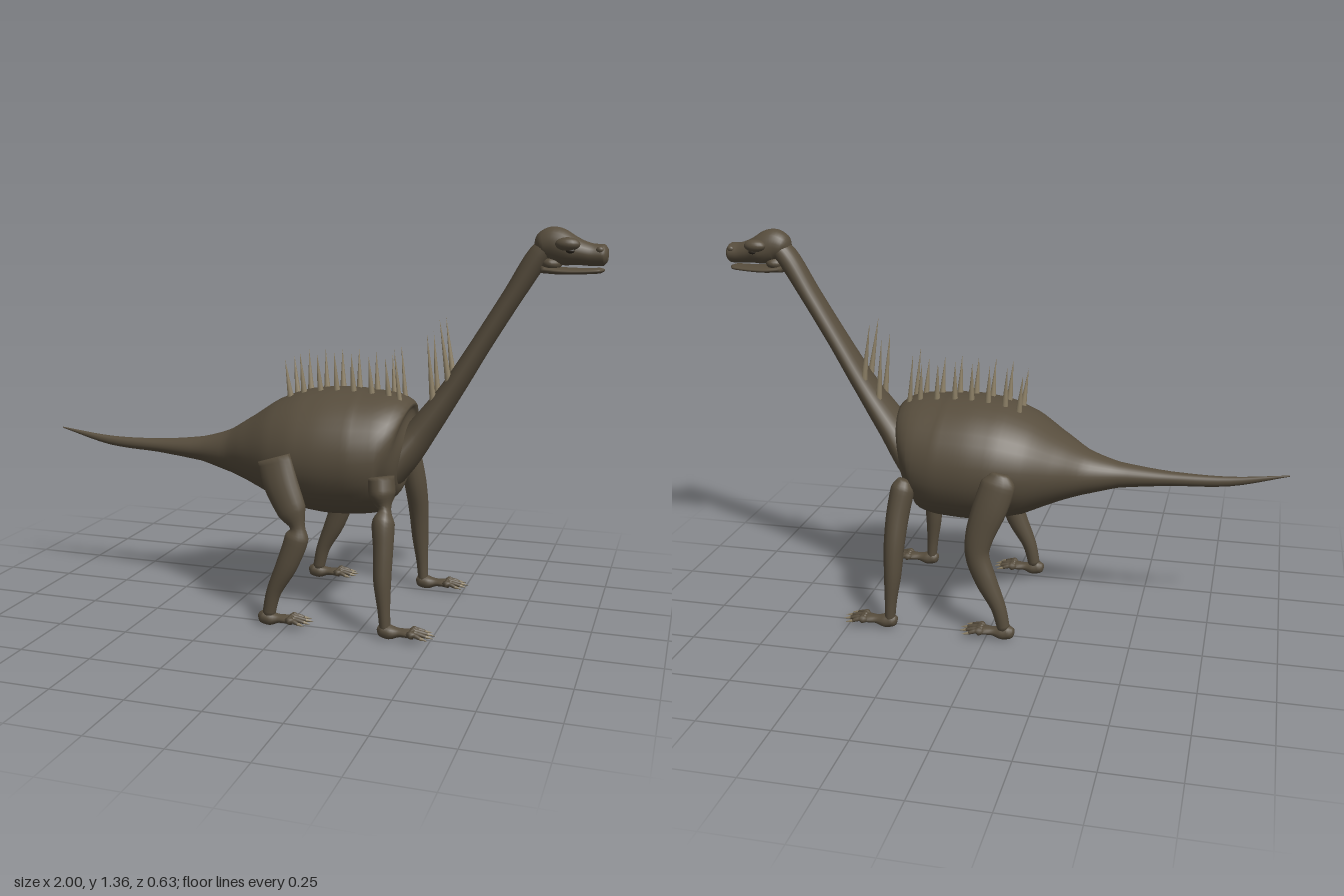
import * as THREE from 'three';

const mat = (name, color) => Object.assign(new THREE.MeshStandardMaterial({ color }), { name });

// Smooth tube through sections [x, y, z, half height across the path, half width towards z]
function loft(sections, sides = 24, steps = 5) {
  const path = new THREE.CatmullRomCurve3(sections.map(s => new THREE.Vector3(s[0], s[1], s[2])));
  const size = new THREE.CatmullRomCurve3(sections.map(s => new THREE.Vector3(s[3], s[4], 0)));
  const rings = (sections.length - 1) * steps;
  const pos = [], idx = [];
  for (let i = 0; i <= rings; i++) {
    const t = i / rings;
    const c = path.getPoint(t), r = size.getPoint(t), dir = path.getTangent(t);
    const side = new THREE.Vector3(0, 0, 1).addScaledVector(dir, -dir.z).normalize();
    const up = new THREE.Vector3().crossVectors(side, dir);
    for (let j = 0; j < sides; j++) {
      const a = (j / sides) * Math.PI * 2;
      const p = c.clone().addScaledVector(up, Math.cos(a) * r.x).addScaledVector(side, Math.sin(a) * r.y);
      pos.push(p.x, p.y, p.z);
    }
  }
  for (let i = 0; i < rings; i++) {
    for (let j = 0; j < sides; j++) {
      const a = i * sides + j, b = i * sides + (j + 1) % sides;
      idx.push(a, b, a + sides, b, b + sides, a + sides);
    }
  }
  // Closed ends
  const first = pos.length / 3, last = rings * sides;
  pos.push(...sections[0].slice(0, 3), ...sections[sections.length - 1].slice(0, 3));
  for (let j = 0; j < sides; j++) {
    const k = (j + 1) % sides;
    idx.push(first, k, j, first + 1, last + j, last + k);
  }
  const g = new THREE.BufferGeometry();
  g.setAttribute('position', new THREE.Float32BufferAttribute(pos, 3));
  g.setIndex(idx);
  g.computeVertexNormals();
  return g;
}

export function createModel() {
  const skin = mat('skin', 0x574d3d);
  const horn = mat('horn', 0x8f8268);
  const dark = mat('eye', 0x2a241c);
  const model = new THREE.Group();

  const add = (name, geometry, material = skin, parent = model) => {
    const m = new THREE.Mesh(geometry, material);
    m.name = name;
    parent.add(m);
    return m;
  };
  const ball = (name, p, s, material = skin, parent = model) => {
    const m = add(name, new THREE.SphereGeometry(1, 18, 12), material, parent);
    m.position.set(...p);
    m.scale.set(...s);
    return m;
  };
  const cone = (name, from, to, radius, material, parent = model) => {
    const a = new THREE.Vector3(...from), d = new THREE.Vector3(...to).sub(a);
    const m = add(name, new THREE.ConeGeometry(radius, d.length(), 8), material, parent);
    m.position.copy(a).addScaledVector(d, 0.5);
    m.quaternion.setFromUnitVectors(new THREE.Vector3(0, 1, 0), d.normalize());
    return m;
  };

  // Tail and barrel body in one skin
  add('bodyAndTail', loft([
    [-1, 0.582, 0, 0.002, 0.002], [-0.8, 0.546, 0, 0.017, 0.014], [-0.6, 0.54, 0, 0.025, 0.027],
    [-0.42, 0.54, 0, 0.045, 0.05], [-0.3, 0.542, 0, 0.08, 0.095], [-0.2, 0.552, 0, 0.128, 0.16],
    [-0.1, 0.562, 0, 0.182, 0.218], [0, 0.57, 0, 0.213, 0.247], [0.1, 0.573, 0, 0.223, 0.254],
    [0.2, 0.576, 0, 0.22, 0.25], [0.29, 0.584, 0, 0.202, 0.226], [0.33, 0.575, 0, 0.165, 0.175],
    [0.352, 0.572, 0, 0.1, 0.115], [0.36, 0.57, 0, 0.02, 0.02],
  ], 36));

  // Neck
  add('neck', loft([
    [0.29, 0.51, 0, 0.06, 0.15], [0.34, 0.58, 0, 0.062, 0.125], [0.4, 0.66, 0, 0.052, 0.094],
    [0.5, 0.805, 0, 0.039, 0.07], [0.6, 0.97, 0, 0.034, 0.057], [0.7, 1.135, 0, 0.034, 0.05],
    [0.78, 1.265, 0, 0.038, 0.046], [0.825, 1.31, 0, 0.03, 0.04],
  ]));

  // Head, lower jaw, brows, eyes and nostrils
  const head = new THREE.Group();
  head.name = 'head';
  model.add(head);
  add('skull', loft([
    [0.768, 1.285, 0, 0.012, 0.02], [0.79, 1.295, 0, 0.046, 0.045], [0.825, 1.3, 0, 0.059, 0.052],
    [0.87, 1.286, 0, 0.053, 0.058], [0.91, 1.277, 0, 0.041, 0.05], [0.95, 1.27, 0, 0.036, 0.044],
    [0.985, 1.27, 0, 0.035, 0.043], [0.998, 1.27, 0, 0.02, 0.028], [1, 1.27, 0, 0.003, 0.004],
  ]), skin, head);
  add('lowerJaw', loft([
    [0.79, 1.222, 0, 0.014, 0.044], [0.85, 1.217, 0, 0.012, 0.053], [0.92, 1.217, 0, 0.01, 0.047],
    [0.975, 1.22, 0, 0.009, 0.036], [0.99, 1.222, 0, 0.003, 0.01],
  ]), skin, head);
  ball('mouthHinge', [0.82, 1.24, 0], [0.035, 0.025, 0.045], skin, head);
  for (const s of [-1, 1]) {
    ball('brow', [0.875, 1.305, s * 0.05], [0.04, 0.022, 0.027], skin, head);
    ball('eye', [0.885, 1.284, s * 0.056], [0.014, 0.008, 0.008], dark, head);
    ball('nostril', [0.975, 1.288, s * 0.036], [0.012, 0.01, 0.008], skin, head);
  }

  // Two rows of back spikes: base x, base y, tip x, tip y
  const spikes = [
    [-0.065, 0.755, -0.082, 0.892], [-0.015, 0.77, -0.027, 0.918], [0.045, 0.78, 0.035, 0.92],
    [0.105, 0.785, 0.097, 0.927], [0.165, 0.785, 0.158, 0.927], [0.23, 0.78, 0.22, 0.92],
    [0.292, 0.765, 0.279, 0.912], [0.335, 0.715, 0.31, 0.947], [0.445, 0.77, 0.423, 1.0],
    [0.497, 0.84, 0.465, 1.05],
  ];
  for (const [bx, by, tx, ty] of spikes) {
    for (const s of [-1, 1]) cone('backSpike', [bx, by, s * 0.038], [tx, ty, s * 0.05], 0.012, horn);
  }

  // Legs: jointed on the +z side, smooth on the -z side
  add('frontLegJointed', loft([
    [0.31, 0.535, 0.2, 0.045, 0.045], [0.317, 0.48, 0.208, 0.045, 0.052], [0.33, 0.43, 0.22, 0.02, 0.028],
    [0.33, 0.385, 0.238, 0.038, 0.044], [0.335, 0.31, 0.255, 0.034, 0.038], [0.337, 0.2, 0.27, 0.03, 0.034],
    [0.345, 0.1, 0.275, 0.021, 0.025], [0.35, 0.03, 0.275, 0.018, 0.022],
  ], 16));
  add('frontLegSmooth', loft([
    [0.305, 0.535, -0.195, 0.025, 0.035], [0.312, 0.5, -0.205, 0.042, 0.05], [0.325, 0.42, -0.225, 0.04, 0.05],
    [0.333, 0.31, -0.255, 0.036, 0.043], [0.337, 0.2, -0.27, 0.03, 0.036], [0.345, 0.1, -0.275, 0.021, 0.026],
    [0.35, 0.03, -0.275, 0.018, 0.022],
  ], 16));
  add('hindLegJointed', loft([
    [-0.052, 0.585, 0.25, 0.06, 0.025], [-0.025, 0.5, 0.258, 0.062, 0.034], [0.018, 0.41, 0.268, 0.052, 0.034],
    [0.04, 0.355, 0.272, 0.026, 0.022], [0.036, 0.315, 0.272, 0.042, 0.034], [0.002, 0.22, 0.275, 0.038, 0.035],
    [-0.045, 0.12, 0.276, 0.026, 0.028], [-0.065, 0.035, 0.275, 0.022, 0.022],
  ], 16));
  add('hindLegSmooth', loft([
    [-0.045, 0.6, -0.24, 0.03, 0.02], [-0.038, 0.56, -0.247, 0.06, 0.034], [-0.012, 0.48, -0.258, 0.06, 0.038],
    [0.022, 0.38, -0.268, 0.05, 0.038], [0.03, 0.31, -0.272, 0.042, 0.037], [0.0, 0.22, -0.275, 0.038, 0.035],
    [-0.045, 0.12, -0.276, 0.026, 0.028], [-0.065, 0.035, -0.275, 0.022, 0.022],
  ], 16));

  // Feet with spread, clawed toes
  for (const [name, x] of [['frontFoot', 0.355], ['hindFoot', -0.075 + 0.005]]) {
    for (const s of [-1, 1]) {
      const foot = new THREE.Group();
      foot.name = name;
      foot.position.set(x, 0, s * 0.275);
      model.add(foot);
      add('sole', loft([
        [-0.03, 0.036, 0, 0.008, 0.01], [-0.015, 0.03, 0, 0.025, 0.024], [0.012, 0.024, 0, 0.024, 0.028],
        [0.045, 0.026, 0, 0.014, 0.022], [0.08, 0.027, 0, 0.013, 0.029], [0.11, 0.025, 0, 0.005, 0.02],
      ], 14, 4), skin, foot);
      for (const [k, reach] of [[-1, 0], [-0.35, 0.014], [0.35, 0.014], [1, 0]]) {
        const tip = [0.124 + reach, 0.026, k * 0.035];
        add('toe', loft([
          [0.075, 0.027, k * 0.018, 0.009, 0.009], [0.1, 0.032, k * 0.027, 0.009, 0.009],
          [...tip, 0.006, 0.006],
        ], 8, 4), skin, foot);
        cone('claw', tip, [tip[0] + 0.026, 0.022, k * 0.041], 0.006, horn, foot);
      }
    }
  }
  return model;
}
